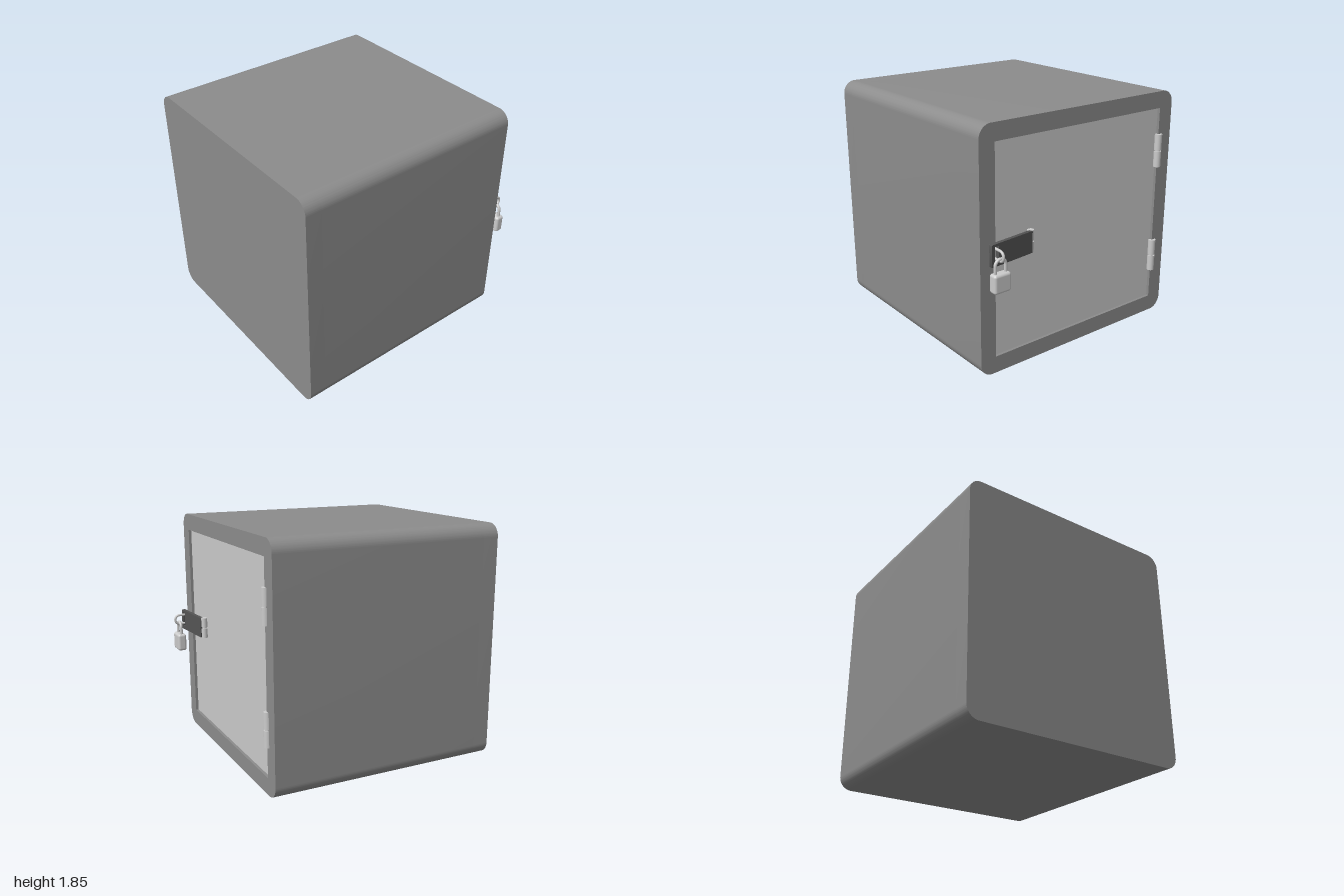
import * as THREE from 'three';
import { toCreasedNormals } from 'three/addons/utils/BufferGeometryUtils.js';
import { RoundedBoxGeometry } from 'three/addons/geometries/RoundedBoxGeometry.js';

const paint = (color) => new THREE.MeshStandardMaterial({ color });

function addMesh(parent, name, geometry, material, x = 0, y = 0, z = 0) {
  const mesh = new THREE.Mesh(geometry, material);
  mesh.name = name;
  mesh.position.set(x, y, z);
  parent.add(mesh);
  return mesh;
}

// Rounded rectangle centred on the origin
function roundedRect(w, h, r) {
  const s = new THREE.Shape();
  const a = w / 2 - r, b = h / 2 - r;
  s.absarc(a, b, r, 0, Math.PI / 2);
  s.absarc(-a, b, r, Math.PI / 2, Math.PI);
  s.absarc(-a, -b, r, Math.PI, Math.PI * 1.5);
  s.absarc(a, -b, r, Math.PI * 1.5, Math.PI * 2);
  s.closePath();
  return s;
}

// Rectangular hole
function rectHole(x, y, w, h) {
  const p = new THREE.Path();
  p.moveTo(x - w / 2, y - h / 2);
  p.lineTo(x - w / 2, y + h / 2);
  p.lineTo(x + w / 2, y + h / 2);
  p.lineTo(x + w / 2, y - h / 2);
  p.closePath();
  return p;
}

function extrude(shape, depth) {
  const g = new THREE.ExtrudeGeometry(shape, { depth, bevelEnabled: false, curveSegments: 14 });
  return toCreasedNormals(g, Math.PI / 6);
}

// Round bar bent into an upside-down U, legs starting at y = 0
function uBar(halfWidth, legs, radius) {
  const path = new THREE.CurvePath();
  const v = (x, y) => new THREE.Vector3(x, y, 0);
  const k = halfWidth * 0.5523, w = halfWidth;
  path.add(new THREE.LineCurve3(v(-w, 0), v(-w, legs)));
  path.add(new THREE.CubicBezierCurve3(v(-w, legs), v(-w, legs + k), v(-k, legs + w), v(0, legs + w)));
  path.add(new THREE.CubicBezierCurve3(v(0, legs + w), v(k, legs + w), v(w, legs + k), v(w, legs)));
  path.add(new THREE.LineCurve3(v(w, legs), v(w, 0)));
  return new THREE.TubeGeometry(path, 60, radius, 12, false);
}

// Upright hinge: two knuckles on a thinner pin
function addHinge(parent, name, x, y, z, radius, height, material) {
  const hinge = new THREE.Group();
  hinge.name = name;
  hinge.position.set(x, y, z);
  const gap = 0.012, len = (height - gap) / 2;
  for (const s of [-1, 1]) {
    addMesh(hinge, 'hingeKnuckle', new THREE.CylinderGeometry(radius, radius, len, 24), material,
      0, s * (len + gap) / 2, 0);
  }
  addMesh(hinge, 'hingePin', new THREE.CylinderGeometry(radius * 0.7, radius * 0.7, height * 0.9, 16), material);
  parent.add(hinge);
}

export function createModel() {
  const model = new THREE.Group();
  model.name = 'safe';
  const bodyGrey = paint(0x8c8c8c), lightGrey = paint(0xcccccc), darkGrey = paint(0x555555);
  const midY = 0.925, size = 1.85, backZ = -0.85, wall = 0.13, opening = 1.59;

  // Body: square tube with a closed front
  const tube = roundedRect(size, size, 0.1);
  tube.holes.push(rectHole(0, 0, opening, opening));
  addMesh(model, 'bodyWalls', extrude(tube, size - wall), bodyGrey, 0, midY, backZ);
  addMesh(model, 'frontWall', extrude(roundedRect(size, size, 0.1), wall), bodyGrey, 0, midY, 1 - wall);

  // Door set slightly into the opening, with its two hinges
  addMesh(model, 'door', new THREE.BoxGeometry(opening, opening, 0.08), lightGrey, 0, midY, backZ + 0.062);
  for (const [name, y] of [['lowerHinge', 0.5], ['upperHinge', 1.382]]) {
    addHinge(model, name, -0.8, y, backZ + 0.003, 0.029, 0.262, lightGrey);
  }

  // Hasp: slotted strap leaning away from the door
  const latchY = 0.948;
  const hasp = new THREE.Group();
  hasp.name = 'hasp';
  hasp.position.set(0.49, latchY, -0.866);
  hasp.rotation.y = 0.095;
  const strap = roundedRect(0.385, 0.165, 0.006);
  strap.holes.push(rectHole(0.147, 0.005, 0.036, 0.116));
  addMesh(hasp, 'strap', extrude(strap, 0.028), darkGrey, 0.194, 0, -0.014);
  model.add(hasp);
  addHinge(model, 'haspHinge', 0.485, latchY, backZ + 0.002, 0.025, 0.165, lightGrey);

  // Staple standing out of the frame through the strap
  const stapleGeo = uBar(0.037, 0.113, 0.01).rotateY(Math.PI / 2).rotateX(-Math.PI / 2);
  addMesh(model, 'staple', stapleGeo, lightGrey, 0.832, 0.955, -0.84);

  // Padlock hanging from the staple
  const padlock = new THREE.Group();
  padlock.name = 'padlock';
  padlock.position.set(0.832, 0.765, -0.954);
  addMesh(padlock, 'lockBody', new RoundedBoxGeometry(0.143, 0.143, 0.072, 4, 0.02), lightGrey);
  addMesh(padlock, 'shackle', uBar(0.044, 0.075, 0.012), lightGrey, 0, 0.05, 0);
  model.add(padlock);

  return model;
}
